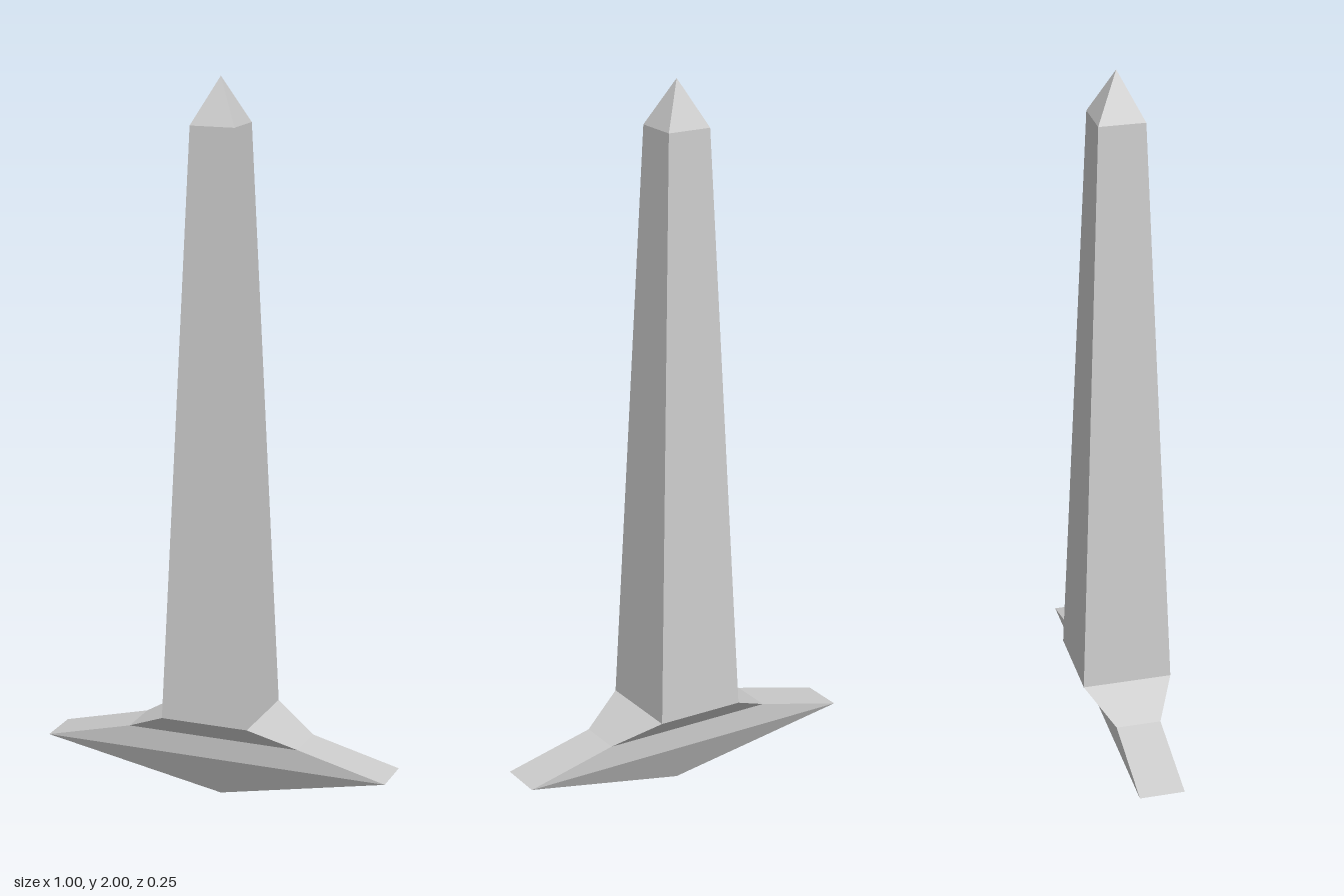
import * as THREE from 'three';

// Rectangular cross-sections from bottom to top: height, half width, half depth
const point = { y: 0, x: 0, z: 0 };
const guardEdge = { y: 0.125, x: 0.5, z: 0.0625 };
const guardTop = { y: 0.1875, x: 0.25, z: 0.0625 };
const bladeBase = { y: 0.25, x: 0.125, z: 0.125 };
const bladeEnd = { y: 1.875, x: 0.0625, z: 0.0625 };
const apex = { y: 2, x: 0, z: 0 };

const material = new THREE.MeshStandardMaterial({ color: 0xcccccc, flatShading: true });

// Four flat sides joining two sections; a zero-size section is a point
function loft(name, lower, upper) {
  const corners = [[1, 1], [1, -1], [-1, -1], [-1, 1]];
  const at = (s, i) => [s.x * corners[i % 4][0], s.y, s.z * corners[i % 4][1]];
  const positions = [];
  for (let i = 0; i < 4; i++) {
    const a = at(lower, i), b = at(lower, i + 1);
    const c = at(upper, i + 1), d = at(upper, i);
    if (lower.x > 0) positions.push(...a, ...b, ...c);
    if (upper.x > 0) positions.push(...a, ...c, ...d);
  }
  const geometry = new THREE.BufferGeometry();
  geometry.setAttribute('position', new THREE.Float32BufferAttribute(positions, 3));
  geometry.computeVertexNormals();
  const mesh = new THREE.Mesh(geometry, material);
  mesh.name = name;
  return mesh;
}

export function createModel() {
  const group = new THREE.Group();
  group.name = 'spike';
  group.add(
    loft('guardUnderside', point, guardEdge),
    loft('guardUpper', guardEdge, guardTop),
    loft('collar', guardTop, bladeBase),
    loft('shaft', bladeBase, bladeEnd),
    loft('tip', bladeEnd, apex),
  );
  return group;
}
